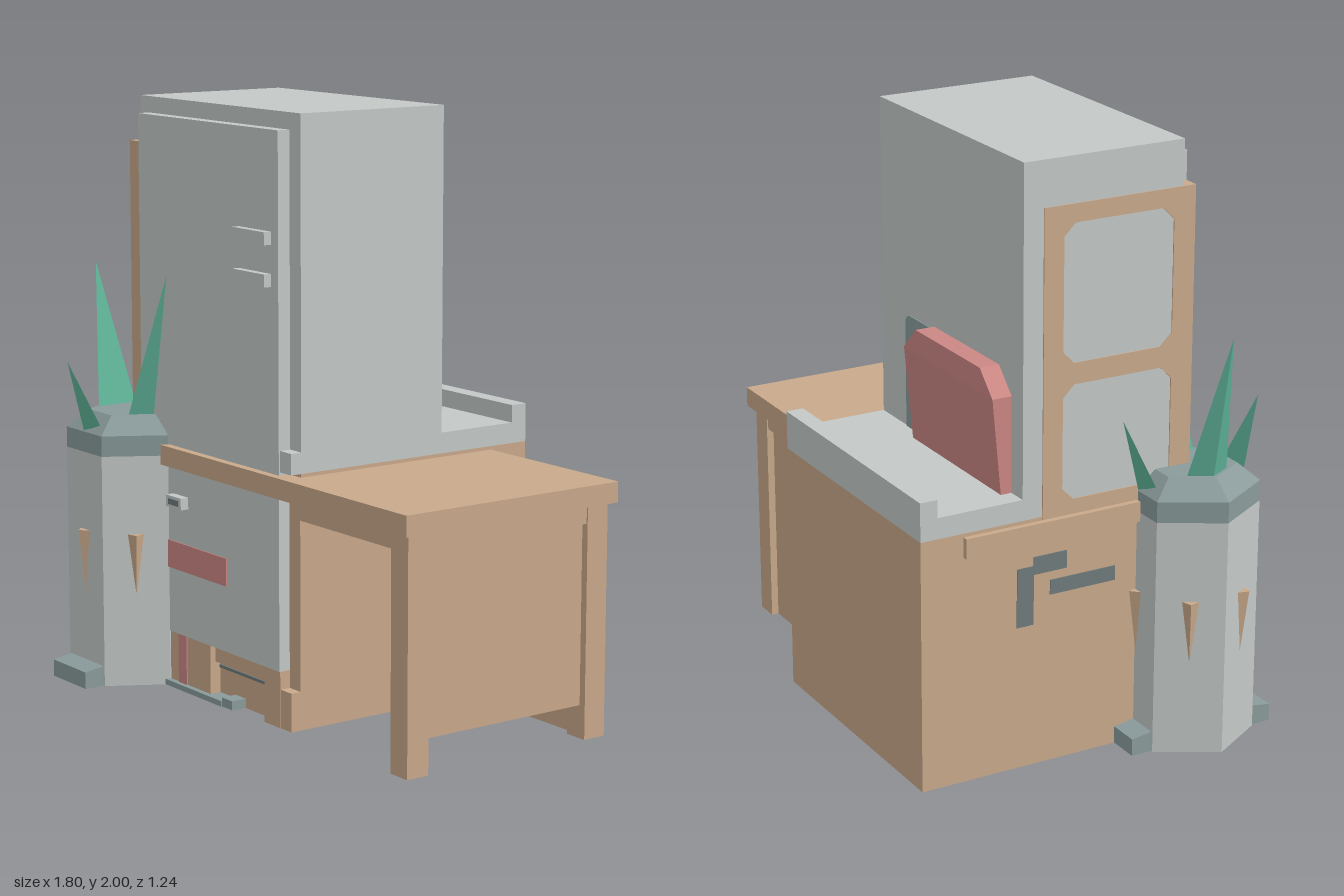
import * as THREE from 'three';
import { ConvexGeometry } from 'three/addons/geometries/ConvexGeometry.js';

const mat = (name, color) => {
  const m = new THREE.MeshStandardMaterial({ color });
  m.name = name;
  return m;
};

export function createModel() {
  const model = new THREE.Group();
  const gray = mat('light gray', 0xc3c9c7);
  const wood = mat('wood', 0xc9a98b);
  const red = mat('red', 0xcb8784);
  const green = mat('leaf green', 0x5fb499);
  const slate = mat('slate', 0x8a9b9b);
  const dark = mat('dark gray', 0x6f7b7c);

  const add = (name, geometry, material, parent = model) => {
    const mesh = new THREE.Mesh(geometry, material);
    mesh.name = name;
    parent.add(mesh);
    return mesh;
  };
  // Box given by its lower and upper limits on each axis
  const box = (name, material, x0, x1, y0, y1, z0, z1, parent) => {
    const g = new THREE.BoxGeometry(x1 - x0, y1 - y0, z1 - z0);
    g.translate((x0 + x1) / 2, (y0 + y1) / 2, (z0 + z1) / 2);
    return add(name, g, material, parent);
  };
  const hull = (name, material, points, parent) =>
    add(name, new ConvexGeometry(points.map(p => new THREE.Vector3(...p))), material, parent);

  // Lower cabinet with its gray top, rear ledge and door
  box('lowerCabinet', wood, -0.67, 0.26, 0, 0.85, -0.62, 0.31);
  box('cabinetTop', gray, -0.67, 0.26, 0.85, 0.92, -0.62, 0.35);
  box('rearLedge', gray, -0.67, 0.26, 0.92, 0.98, -0.62, -0.56);
  box('lowerDoor', gray, -0.67, 0.2, 0.19, 0.77, 0.31, 0.355);
  box('doorPost', wood, 0.2, 0.26, 0.13, 0.77, 0.31, 0.314);
  box('kickLeft', wood, -0.67, -0.21, 0, 0.19, 0.31, 0.35);
  box('kickRight', wood, 0.11, 0.2, 0, 0.19, 0.31, 0.352);
  box('kickFoot', wood, 0.2, 0.26, 0, 0.13, 0.31, 0.35);
  box('kickDrawer', wood, -0.21, 0.11, 0.13, 0.19, 0.31, 0.33);
  box('drawerGap', dark, -0.21, 0.11, 0.108, 0.118, 0.31, 0.314);
  box('redBand', red, -0.52, -0.1, 0.415, 0.51, 0.353, 0.359);
  box('redStrip', red, -0.4, -0.35, 0.02, 0.19, 0.348, 0.354);
  box('floorPlate', slate, -0.76, -0.12, 0.001, 0.02, 0.1, 0.37);
  box('floorPlateTip', slate, -0.12, -0.06, 0.001, 0.032, 0.1, 0.365);

  // Tall cabinet, door and handles
  box('tallCabinet', gray, -0.67, 0.26, 0.92, 2, -0.26, 0.31);
  box('tallDoor', gray, -0.615, 0.2, 0.84, 1.945, 0.31, 0.355);
  for (const y of [1.445, 1.58]) box('doorHandle', gray, -0.02, 0.16, y, y + 0.042, 0.355, 0.382);
  box('lowerHandle', gray, -0.42, -0.33, 0.635, 0.675, 0.355, 0.385);
  box('handleInset', dark, -0.405, -0.345, 0.645, 0.665, 0.384, 0.387);

  // Wooden framed side panel with two rounded openings
  box('sideEdge', wood, -0.67, -0.615, 0.84, 1.85, 0.31, 0.352);
  const frame = new THREE.Shape([[-0.352, 0.84], [0.19, 0.84], [0.19, 1.85], [-0.352, 1.85]]
    .map(p => new THREE.Vector2(...p)));
  for (const [y0, y1] of [[0.89, 1.27], [1.34, 1.79]]) {
    const l = -0.275, r = 0.12, c = 0.04;
    frame.holes.push(new THREE.Path([[l + c, y0], [l, y0 + c], [l, y1 - c], [l + c, y1],
      [r - c, y1], [r, y1 - c], [r, y0 + c], [r - c, y0]].map(p => new THREE.Vector2(...p))));
  }
  const frameGeo = new THREE.ExtrudeGeometry(frame, { depth: 0.004, bevelEnabled: false });
  frameGeo.rotateY(Math.PI / 2);
  frameGeo.translate(-0.674, 0, 0);
  add('sideFrame', frameGeo, wood);
  box('sideInlayUpright', dark, -0.673, -0.669, 0.49, 0.69, -0.28, -0.22);
  box('sideInlayTop', dark, -0.673, -0.669, 0.66, 0.72, -0.22, -0.1);
  box('sideInlayBar', dark, -0.673, -0.669, 0.58, 0.63, -0.16, 0.08);

  // Red backrest leaning out of the rear wall, with a slate patch behind it
  const outline = [[-0.6, 0.92], [-0.02, 0.92], [-0.02, 1.24], [-0.1, 1.32], [-0.52, 1.32], [-0.6, 1.24]];
  hull('backrest', red, outline.flatMap(([x, y]) =>
    [[x, y, -0.255], [x, y, y < 1 ? -0.298 : -0.298 - 0.03 * Math.min(1, (y - 0.92) / 0.32)]]));
  hull('backPatch', slate, [[-0.4, 0.92], [0.09, 0.92], [0.09, 1.29], [0.07, 1.31], [-0.33, 1.31], [-0.4, 1.28]]
    .flatMap(([x, y]) => [[x, y, -0.258], [x, y, -0.264]]));

  // Desk
  const desk = new THREE.Group();
  desk.name = 'desk';
  model.add(desk);
  box('deskTop', wood, -0.69, 0.9, 0.77, 0.838, -0.47, 0.378, desk);
  for (const [z0, z1] of [[0.273, 0.355], [-0.445, -0.362]])
    box('deskLeg', wood, 0.795, 0.88, 0, 0.77, z0, z1, desk);
  box('sideApron', wood, 0.81, 0.875, 0.71, 0.77, -0.362, 0.273, desk);
  box('frontApron', wood, 0.26, 0.795, 0.71, 0.77, 0.29, 0.345, desk);
  box('sidePanel', wood, 0.825, 0.855, 0.11, 0.71, -0.362, 0.273, desk);
  box('rearApron', wood, 0.26, 0.795, 0.71, 0.77, -0.44, -0.39, desk);
  box('rearPanel', wood, 0.26, 0.795, 0, 0.71, -0.42, -0.39, desk);

  // Six-sided planter
  const planter = new THREE.Group();
  planter.name = 'planter';
  planter.position.set(-0.675, 0, 0.355);
  model.add(planter);
  const hex = (name, material, rTop, rBottom, y0, y1) => {
    const g = new THREE.CylinderGeometry(rTop, rBottom, y1 - y0, 6).toNonIndexed();
    g.computeVertexNormals();
    g.rotateY(Math.PI / 6);
    g.translate(0, (y0 + y1) / 2, 0);
    add(name, g, material, planter);
  };
  hex('planterBody', gray, 0.225, 0.225, 0, 0.8);
  hex('planterRim', slate, 0.225, 0.225, 0.8, 0.87);
  hex('planterTop', slate, 0.15, 0.225, 0.87, 0.93);

  // Wooden spikes on every face, feet on the front and rear faces
  for (let k = 0; k < 6; k++) {
    const spike = hull('faceSpike', wood,
      [[-0.032, 0.53, 0.19], [0.032, 0.53, 0.19], [0, 0.53, 0.222], [0, 0.31, 0.194]], planter);
    spike.rotation.y = k * Math.PI / 3;
    if (k % 3 === 0) {
      const foot = hull('planterFoot', slate, [-0.105, 0.105].flatMap(x =>
        [[x, 0, 0.19], [x, 0, 0.267], [x, 0.058, 0.267], [x, 0.07, 0.19]]), planter);
      foot.rotation.y = k * Math.PI / 3;
    }
  }

  // Two tall leaves at the sides, two short ones at front and rear
  for (const s of [1, -1]) {
    const tall = hull('tallLeaf', green,
      [[-0.075, 0.925, 0.095], [0.075, 0.925, 0.095], [0, 0.92, 0.135], [0, 1.415, 0.225]], planter);
    tall.rotation.y = s * Math.PI / 2;
    const short = hull('shortLeaf', green,
      [[-0.06, 0.893, 0.165], [0.06, 0.893, 0.165], [0, 0.875, 0.195], [0, 1.115, 0.255]], planter);
    short.rotation.y = s > 0 ? 0 : Math.PI;
  }
  return model;
}
